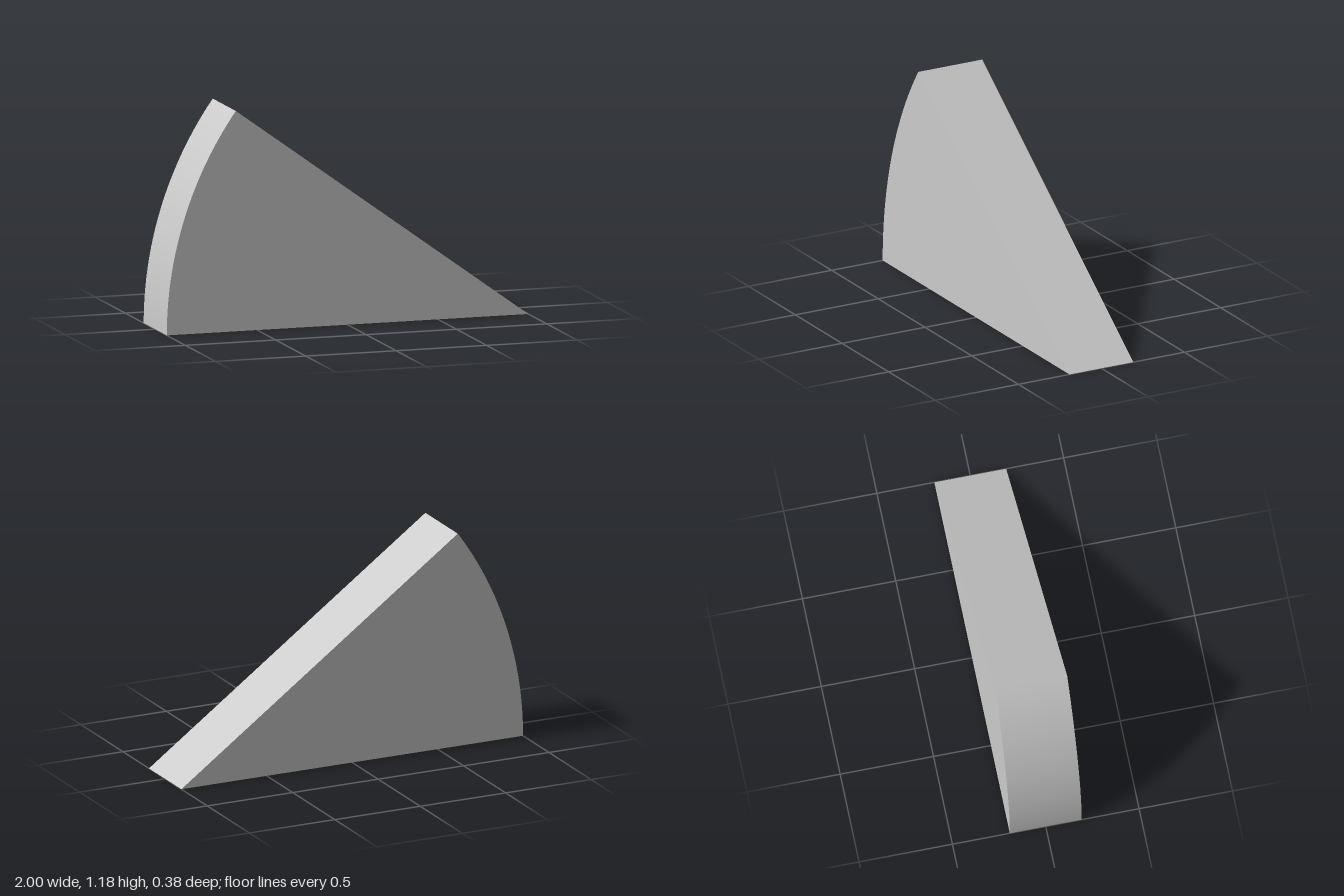
import * as THREE from 'three';
import { toCreasedNormals } from 'three/addons/utils/BufferGeometryUtils.js';

const RADIUS = 2;
const ANGLE = Math.PI / 5; // a tenth of a full circle
const DEPTH = 0.385;

export function createModel() {
  const group = new THREE.Group();
  group.name = 'wedge';

  // Sector outline: tip at the left end of the base, arc on the opposite side
  const outline = new THREE.Shape();
  outline.moveTo(1, 0);
  outline.lineTo(1 - RADIUS * Math.cos(ANGLE), RADIUS * Math.sin(ANGLE));
  outline.absarc(1, 0, RADIUS, Math.PI - ANGLE, Math.PI, false);
  outline.closePath();

  // Flat slab with sharp edges and a smooth curved rim
  const slab = new THREE.ExtrudeGeometry(outline, {
    depth: DEPTH,
    bevelEnabled: false,
    curveSegments: 32,
  });
  slab.translate(0, 0, -DEPTH / 2);

  const sector = new THREE.Mesh(
    toCreasedNormals(slab, 0.5),
    new THREE.MeshStandardMaterial({ color: 0xcccccc })
  );
  sector.name = 'sectorSlab';
  group.add(sector);
  return group;
}
